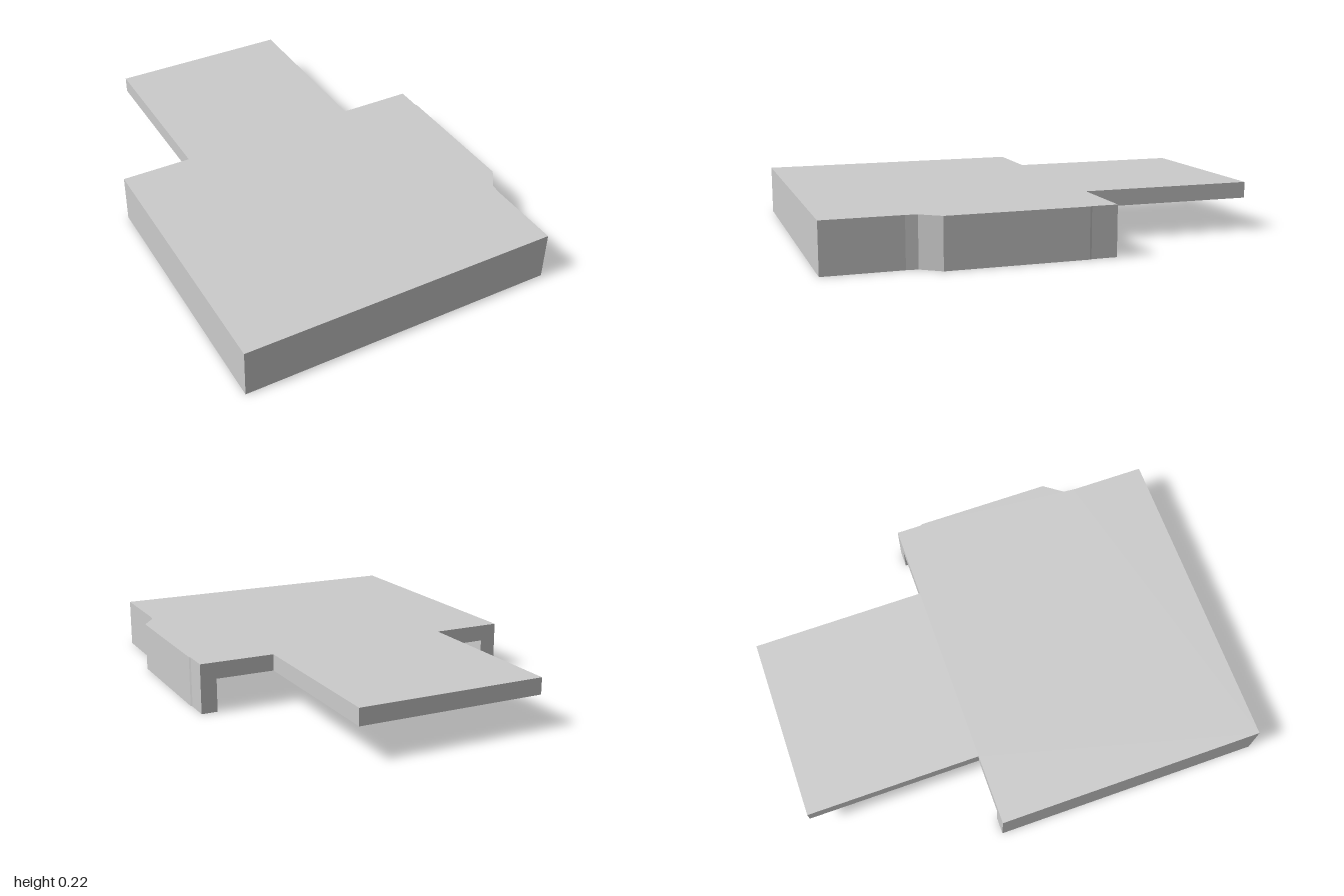
import * as THREE from 'three';

const HEIGHT = 0.22;     // overall thickness
const UNDERSIDE = 0.147; // underside of the tongue and ceiling of the recess

const material = new THREE.MeshStandardMaterial({ color: 0xcccccc, flatShading: true });

// Upright slab from a plan outline of [x, z] points
function slab(name, outline, bottom, top) {
  const shape = new THREE.Shape(outline.map(([x, z]) => new THREE.Vector2(x, -z)));
  const geometry = new THREE.ExtrudeGeometry(shape, { depth: top - bottom, bevelEnabled: false });
  geometry.rotateX(-Math.PI / 2);
  geometry.translate(0, bottom, 0);
  const mesh = new THREE.Mesh(geometry, material);
  mesh.name = name;
  return mesh;
}

export function createModel() {
  const model = new THREE.Group();
  model.name = 'steppedPlate';

  // Outer edge of the body, from back left round the front to back right,
  // with the slanted step on the +x side
  const bodyEdge = [
    [-0.745, -0.213], [-0.745, 1], [0.675, 1], [0.675, 0.66], [0.68, 0.61],
    [0.742, 0.525], [0.742, -0.09], [0.737, -0.1], [0.737, -0.213],
  ];

  // Tongue running out to the back
  const tongueEdge = [[0.403, -0.213], [0.403, -1], [-0.428, -1], [-0.428, -0.213]];

  // Recess under the body, open at the back
  const recessEdge = [[0.665, -0.213], [0.665, 0.265], [-0.67, 0.265], [-0.67, -0.213]];

  model.add(
    slab('topPlate', [...bodyEdge, ...tongueEdge], UNDERSIDE, HEIGHT),
    slab('baseWithRecess', [...bodyEdge, ...recessEdge], 0, UNDERSIDE),
  );
  return model;
}
